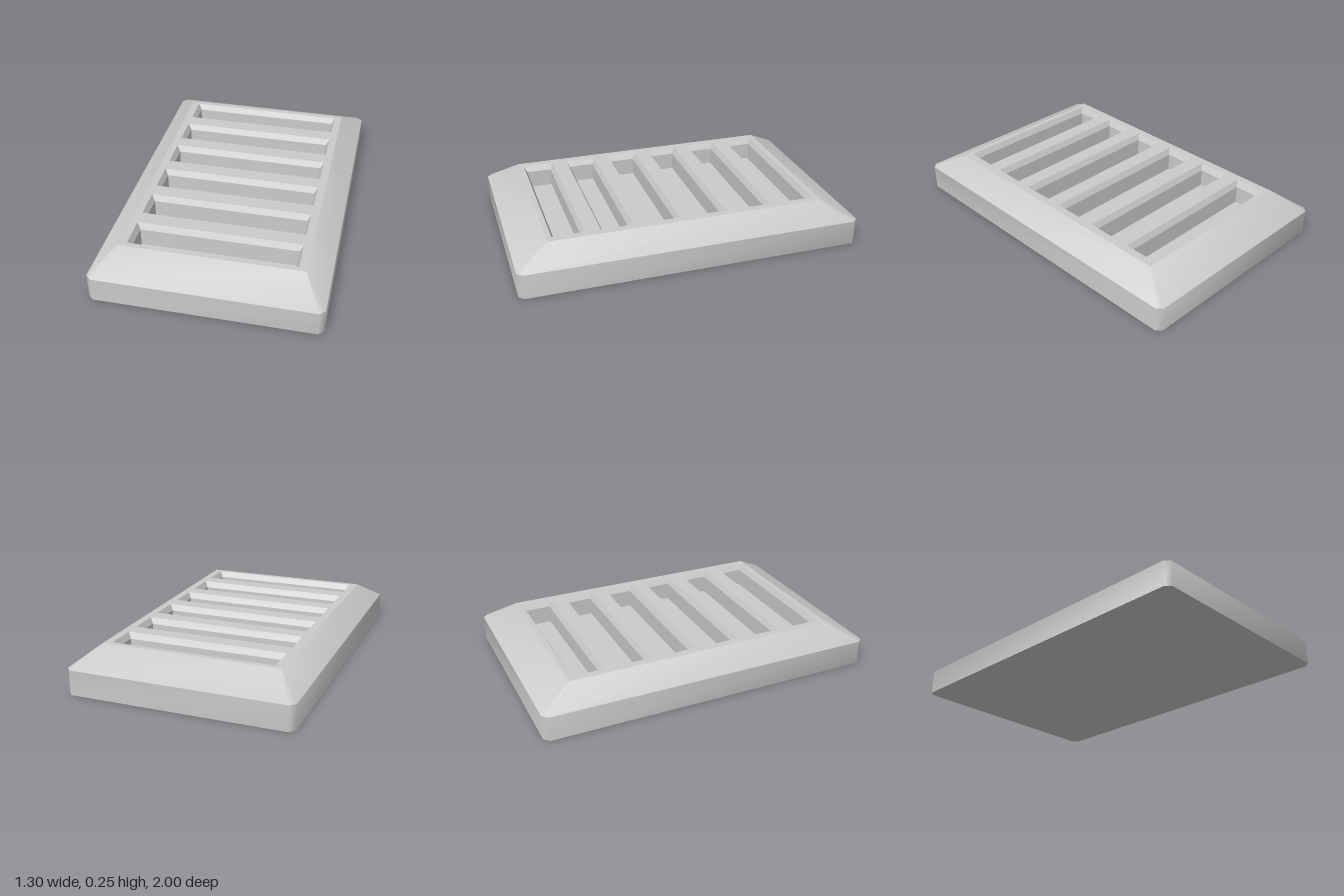
import * as THREE from 'three';
import { toCreasedNormals } from 'three/addons/utils/BufferGeometryUtils.js';

const material = new THREE.MeshStandardMaterial({ color: 0xcccccc });

// Rectangle with cut corners, counter-clockwise seen from above
function ring(hx, hz, y, cut) {
  return [
    [-hx + cut, hz], [hx - cut, hz], [hx, hz - cut], [hx, -hz + cut],
    [hx - cut, -hz], [-hx + cut, -hz], [-hx, -hz + cut], [-hx, hz - cut],
  ].map(([x, z]) => new THREE.Vector3(x, y, z));
}

// Joins rings with quads: rising rings face outward, descending rings face inward
function loft(rings, { capStart = false, capEnd = false, crease = 0.8 } = {}) {
  const points = [];
  const n = rings[0].length;
  for (let r = 0; r < rings.length - 1; r++) {
    const a = rings[r], b = rings[r + 1];
    for (let i = 0; i < n; i++) {
      const j = (i + 1) % n;
      points.push(a[i], a[j], b[j], a[i], b[j], b[i]);
    }
  }
  const first = rings[0], last = rings[rings.length - 1];
  for (let i = 1; i < n - 1; i++) {
    if (capStart) points.push(first[0], first[i + 1], first[i]);
    if (capEnd) points.push(last[0], last[i], last[i + 1]);
  }
  return toCreasedNormals(new THREE.BufferGeometry().setFromPoints(points), crease);
}

function rectangle(path, hx, hz, cz = 0) {
  path.moveTo(-hx, cz - hz);
  path.lineTo(hx, cz - hz);
  path.lineTo(hx, cz + hz);
  path.lineTo(-hx, cz + hz);
  path.closePath();
  return path;
}

export function createModel() {
  const group = new THREE.Group();
  const add = (name, geometry) => {
    const mesh = new THREE.Mesh(geometry, material);
    mesh.name = name;
    group.add(mesh);
    return mesh;
  };

  const topY = 0.25, topX = 0.52, topZ = 0.81;
  const slotX = 0.475, slotZ = 0.0925, pitch = 0.275;
  const slots = Array.from({ length: 6 }, (_, i) => (i - 2.5) * pitch);

  // Base with straight sides, and the sloping border above it
  add('base', loft([ring(0.65, 1, 0, 0.03), ring(0.65, 1, 0.145, 0.03)], { capStart: true }));
  add('slopedBorder', loft([ring(0.65, 1, 0.145, 0.03), ring(topX, topZ, topY, 0.002)]));

  // Flat top pierced by the slots
  const face = rectangle(new THREE.Shape(), topX, topZ);
  for (const z of slots) face.holes.push(rectangle(new THREE.Path(), slotX, slotZ, z));
  add('slottedTop', new THREE.ShapeGeometry(face).rotateX(-Math.PI / 2).translate(0, topY, 0));

  // Recess in each slot: bevelled rim, straight walls, flat floor
  const recess = loft([
    ring(slotX, slotZ, topY, 0),
    ring(slotX - 0.02, slotZ - 0.018, topY - 0.035, 0),
    ring(slotX - 0.02, slotZ - 0.018, 0.11, 0),
  ], { capEnd: true, crease: 0.3 });
  slots.forEach((z, i) => { add(`slotRecess${i + 1}`, recess).position.z = z; });

  return group;
}
